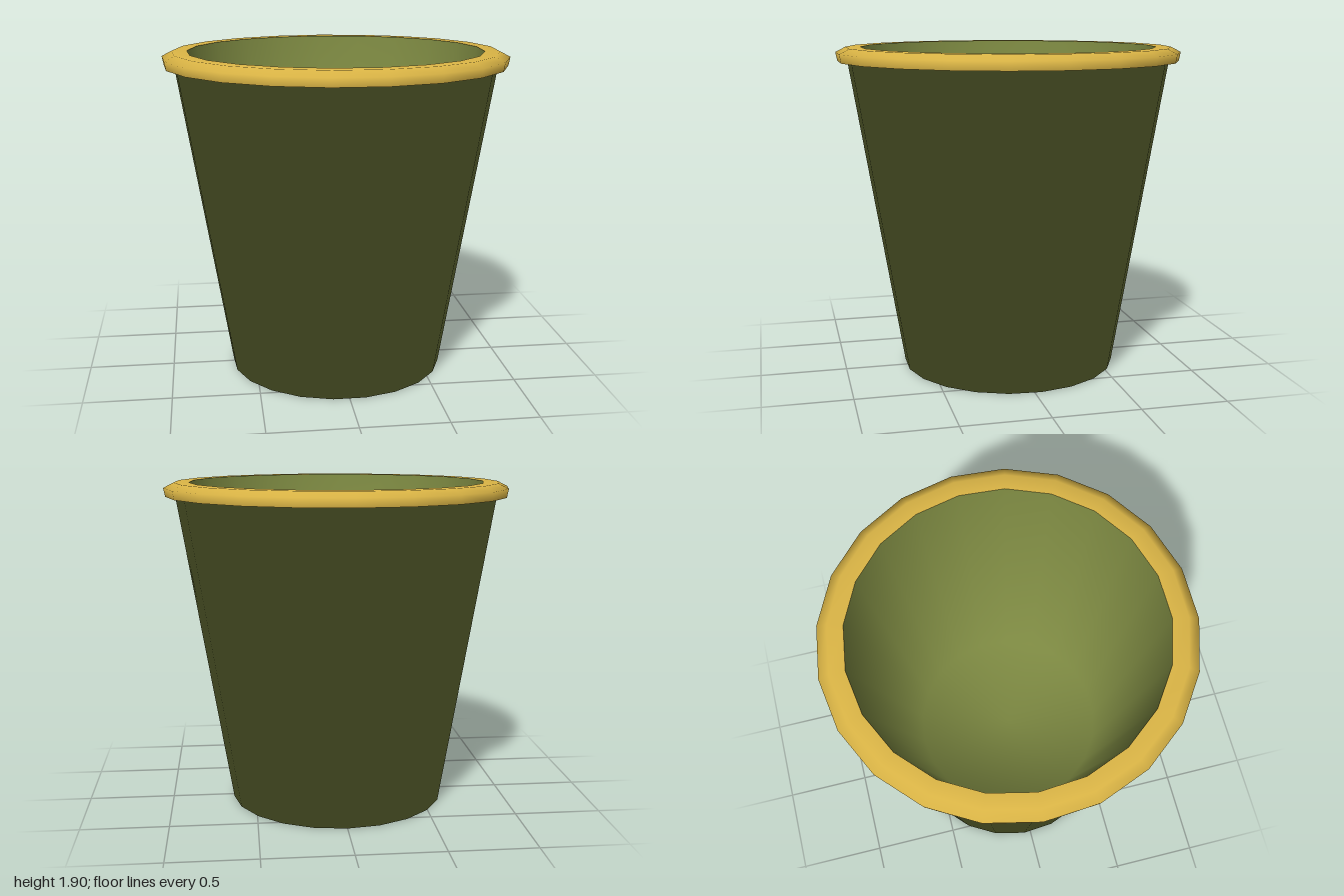
import * as THREE from 'three';

const SIDES = 21;

// Smooth-shaded turned part with one corner pointing to the back
function turned(name, color, profile) {
  const points = profile.map(([r, y]) => new THREE.Vector2(r, y));
  const geometry = new THREE.LatheGeometry(points, SIDES, Math.PI, Math.PI * 2);

  // Blend neighbouring faces evenly, whatever their length
  const faces = points.slice(1).map((p, i) => p.clone().sub(points[i]).normalize());
  const normals = points.map((p, j) => {
    if (p.x === 0) return new THREE.Vector2(0, j === 0 ? -1 : 1);
    const along = (faces[j - 1] ?? faces[j]).clone().add(faces[j] ?? faces[j - 1]).normalize();
    return new THREE.Vector2(along.y, -along.x);
  });
  for (let i = 0; i <= SIDES; i++) {
    const angle = Math.PI + (i / SIDES) * Math.PI * 2;
    normals.forEach((n, j) => geometry.attributes.normal.setXYZ(
      i * points.length + j, n.x * Math.sin(angle), n.y, n.x * Math.cos(angle)));
  }

  const material = new THREE.MeshStandardMaterial({ color, side: THREE.DoubleSide });
  const mesh = new THREE.Mesh(geometry, material);
  mesh.name = name;
  return mesh;
}

export function createModel() {
  const bin = new THREE.Group();
  bin.name = 'bin';
  const green = 0x7a8640;

  // Base, tapered outer wall and the ledge under the rim
  const outerWall = turned('outerWall', green, [
    [0, 0], [0.634, 0], [0.936, 1.823], [0.993, 1.823],
  ]);

  // Inner wall running down into the raised floor
  const innerWall = turned('innerWall', green, [
    [0.858, 1.903], [0.55, 0.5], [0, 0.5],
  ]);

  // Overhanging lip: outer band, bevel and flat top
  const rim = turned('rim', 0xdcb646, [
    [0.993, 1.823], [1.003, 1.873], [0.945, 1.903], [0.858, 1.903],
  ]);

  bin.add(outerWall, innerWall, rim);
  // An odd number of sides reaches further back than forward
  bin.position.z = 0.0055;

  const model = new THREE.Group();
  model.add(bin);
  return model;
}
